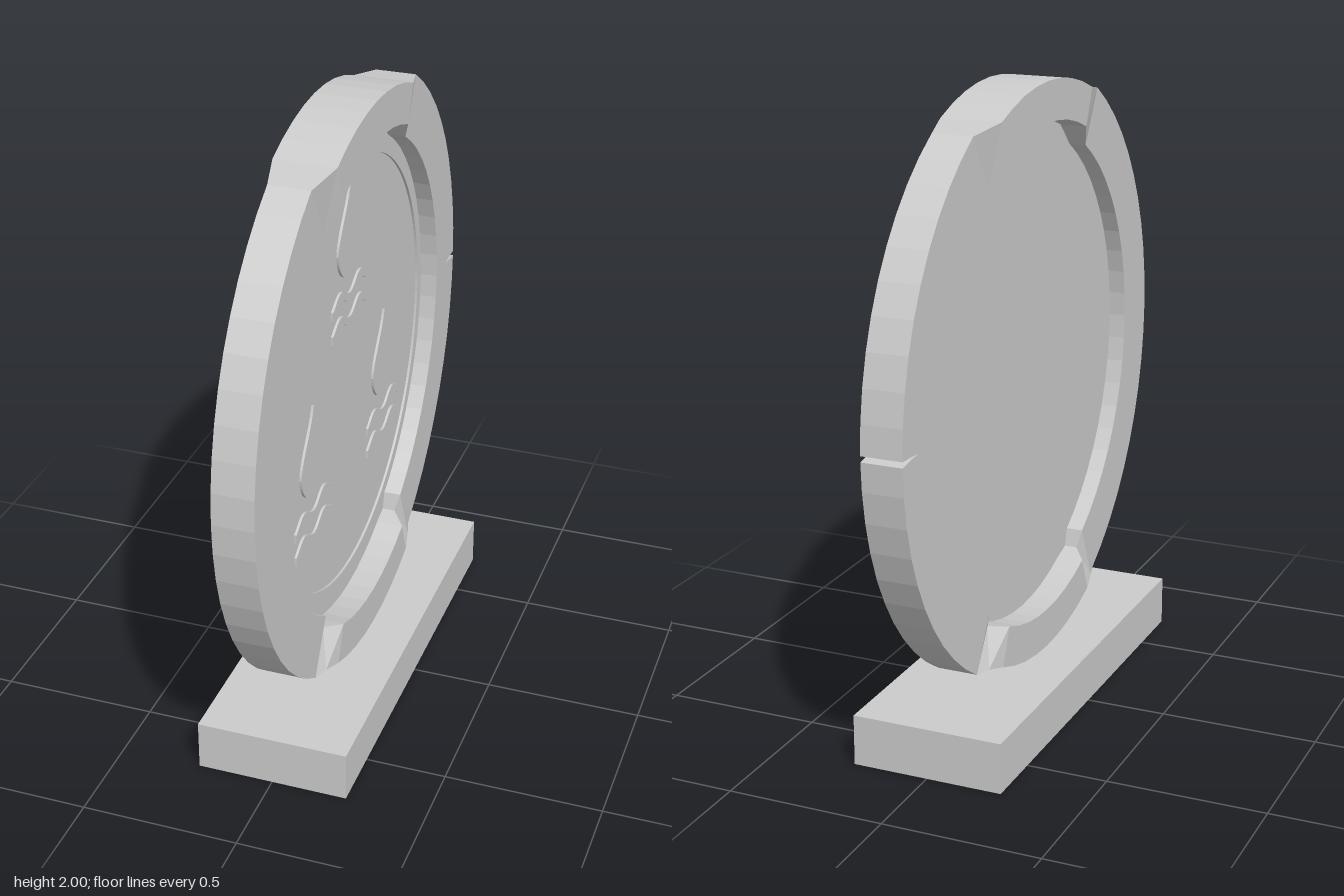
import * as THREE from 'three';

const CY = 1.083;            // height of the disc centre
const RAD = Math.PI / 180;
const SIDE = { ro: 0.953, ri: 0.757, w: 0.065 };
const THICK = { ro: 0.917, ri: 0.79, w: 0.097 };

export function createModel() {
  const model = new THREE.Group();
  const mat = new THREE.MeshStandardMaterial({ color: 0xcccccc, flatShading: true });

  const add = (geometry, name, parent = model) => {
    const mesh = new THREE.Mesh(geometry, mat);
    mesh.name = name;
    parent.add(mesh);
    return mesh;
  };

  // Everything on the disc is drawn in a (u, v) plane, u = -z, then turned to face +x
  const disc = new THREE.Group();
  disc.name = 'disc';
  disc.position.y = CY;
  disc.rotation.y = Math.PI / 2;
  model.add(disc);

  const polar = (r, deg) => new THREE.Vector2(r * Math.cos(deg * RAD), r * Math.sin(deg * RAD));
  const plate = (shape, x0, x1, curveSegments = 12) => {
    const g = new THREE.ExtrudeGeometry(shape, { depth: x1 - x0, bevelEnabled: false, curveSegments });
    return g.translate(0, 0, x0);
  };

  // Ring segment from angle a0 to a1, optionally with a thin crack at angle 0
  const segment = ({ ro, ri, w }, a0, a1, n, cracked) => {
    const outer = [], inner = [];
    for (let i = 0; i <= n; i++) {
      const a = a0 + ((a1 - a0) * i) / n;
      if (cracked && Math.abs(a) < 0.01) {
        outer.push(new THREE.Vector2(ro, -0.01), new THREE.Vector2(0.9, -0.002),
          new THREE.Vector2(0.858, 0.002), new THREE.Vector2(0.9, 0.006), new THREE.Vector2(ro, 0.008));
      } else outer.push(polar(ro, a));
      inner.unshift(polar(ri, a));
    }
    return plate(new THREE.Shape([...outer, ...inner]), -w, w);
  };
  add(segment(SIDE, -60, 60, 20, true), 'crackedRimSide', disc);
  add(segment(SIDE, 120, 240, 20), 'rimSide', disc);
  add(segment(THICK, 67.5, 112.5, 8), 'rimTop', disc);
  add(segment(THICK, 247.5, 292.5, 8), 'rimBottom', disc);

  // Joints lofted between neighbouring rim sections
  const section = ({ ro, ri, w, wi = w }, deg) => {
    const o = polar(ro, deg), i = polar(ri, deg);
    return [[o.x, o.y, -w], [o.x, o.y, w], [i.x, i.y, wi], [i.x, i.y, -wi]];
  };
  const loft = (sections) => {
    const pos = [];
    for (let s = 0; s < sections.length - 1; s++) {
      const a = sections[s], b = sections[s + 1];
      for (let k = 0; k < 4; k++) {
        const n = (k + 1) % 4;
        pos.push(...a[k], ...b[n], ...a[n], ...a[k], ...b[k], ...b[n]);
      }
    }
    const g = new THREE.BufferGeometry();
    g.setAttribute('position', new THREE.Float32BufferAttribute(pos, 3));
    g.computeVertexNormals();
    return g;
  };
  const NOTCH = { ro: 0.93, ri: 0.8, w: 0.081, wi: 0.05 };
  add(loft([section(SIDE, 60), section(THICK, 67.5)]), 'upperJoint', disc);
  add(loft([section(THICK, 112.5), section(SIDE, 120)]), 'upperJoint', disc);
  add(loft([section(SIDE, 240), section(NOTCH, 243), section(THICK, 247.5)]), 'lowerJoint', disc);
  add(loft([section(THICK, 292.5), section(NOTCH, 297), section(SIDE, 300)]), 'lowerJoint', disc);

  // Thin recessed panel with a slightly raised band
  const circle = (r) => new THREE.Shape().absarc(0, 0, r, 0, Math.PI * 2);
  add(plate(circle(0.8), -0.01, 0.008, 64), 'panel', disc);
  const band = circle(0.733);
  band.holes.push(circle(0.695));
  add(plate(band, 0, 0.016, 64), 'panelBand', disc);

  // Raised emblems: a drop above two waves
  const drop = new THREE.Shape();
  drop.moveTo(0, 0.652);
  drop.bezierCurveTo(-0.02, 0.58, -0.11, 0.51, -0.112, 0.45);
  drop.bezierCurveTo(-0.105, 0.385, -0.06, 0.347, 0, 0.347);
  drop.bezierCurveTo(0.06, 0.347, 0.105, 0.385, 0.112, 0.45);
  drop.bezierCurveTo(0.11, 0.51, 0.02, 0.58, 0, 0.652);

  const waveTop = [], waveBottom = [];
  for (let i = 0; i <= 24; i++) {
    const u = -0.162 + (0.324 * i) / 24;
    const v = -0.018 * Math.cos((2 * Math.PI * u) / 0.18);
    waveTop.unshift(new THREE.Vector2(u, v + 0.014));
    waveBottom.push(new THREE.Vector2(u, v - 0.014));
  }
  const wave = new THREE.Shape([...waveBottom, ...waveTop]);

  for (const [u, v] of [[0, 0], [-0.337, -0.585], [0.337, -0.585]]) {
    const emblem = new THREE.Group();
    emblem.name = 'emblem';
    emblem.position.set(u, v, 0);
    disc.add(emblem);
    add(plate(drop, 0, 0.016), 'drop', emblem);
    for (const y of [0.29, 0.208]) add(plate(wave, 0, 0.016), 'wave', emblem).position.y = y;
  }

  // Base slab
  add(new THREE.BoxGeometry(0.485, 0.162, 1.4), 'base').position.y = 0.081;

  return model;
}
